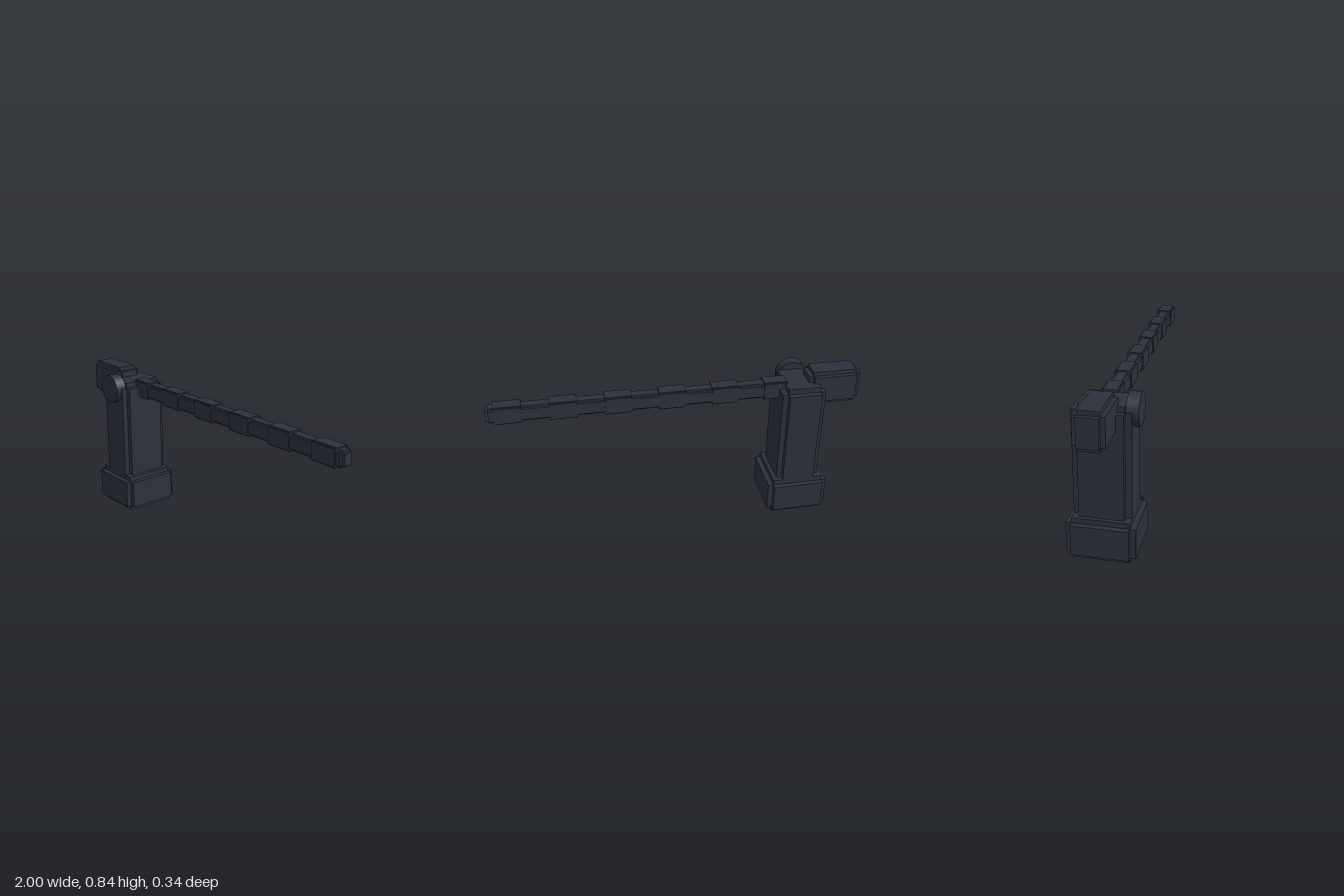
import * as THREE from 'three';

const dark = new THREE.MeshStandardMaterial({ color: 0x2b303a });

// Box given by its min / max corners
function box(parent, name, [x0, x1], [y0, y1], [z0, z1]) {
  const mesh = new THREE.Mesh(new THREE.BoxGeometry(x1 - x0, y1 - y0, z1 - z0), dark);
  mesh.position.set((x0 + x1) / 2, (y0 + y1) / 2, (z0 + z1) / 2);
  mesh.name = name;
  parent.add(mesh);
}

// Block with stepped edges: three crossed boxes, each full size along one axis
function steppedBlock(name, x, y, halfZ, step) {
  const group = new THREE.Group();
  group.name = name;
  const z = [-halfZ, halfZ];
  const inset = ([a, b], s) => [a + s, b - s];
  const [sx, sy, sz] = step;
  box(group, name + 'Sides', x, inset(y, sy), inset(z, sz));
  box(group, name + 'TopAndBottom', inset(x, sx), y, inset(z, sz));
  box(group, name + 'FrontAndBack', inset(x, sx), inset(y, sy), z);
  return group;
}

export function createModel() {
  const model = new THREE.Group();
  model.name = 'barrierGate';

  // Foot, post and counterweight
  model.add(steppedBlock('base', [-0.845, -0.505], [0, 0.216], 0.172, [0.029, 0.028, 0.029]));
  model.add(steppedBlock('post', [-0.795, -0.557], [0.15, 0.785], 0.143, [0.03, 0.03, 0.032]));
  model.add(steppedBlock('counterweight', [-1, -0.715], [0.65, 0.843], 0.075, [0.024, 0.023, 0.023]));

  // Pivot disc on the front of the post
  const pivot = new THREE.Mesh(new THREE.CylinderGeometry(0.082, 0.082, 0.06, 32), dark);
  pivot.name = 'pivotDisc';
  pivot.rotation.x = Math.PI / 2;
  pivot.position.set(-0.675, 0.744, 0.142);
  model.add(pivot);

  // Boom arm
  model.add(steppedBlock('arm', [-0.6, 1], [0.702, 0.788], 0.038, [0.016, 0.012, 0.014]));

  // Raised bands spaced along the arm
  const bands = new THREE.Group();
  bands.name = 'armBands';
  for (let i = 0; i < 6; i++) {
    const start = i === 0 ? -0.6 : -0.615 + i * 0.286;
    const end = -0.473 + i * 0.286;
    box(bands, 'armBand', [start, Math.min(end, 0.982)], [0.696, 0.796], [-0.035, 0.035]);
    box(bands, 'armBandSide', [start, Math.min(end, 0.982)], [0.702, 0.79], [-0.043, 0.043]);
  }
  model.add(bands);

  return model;
}
